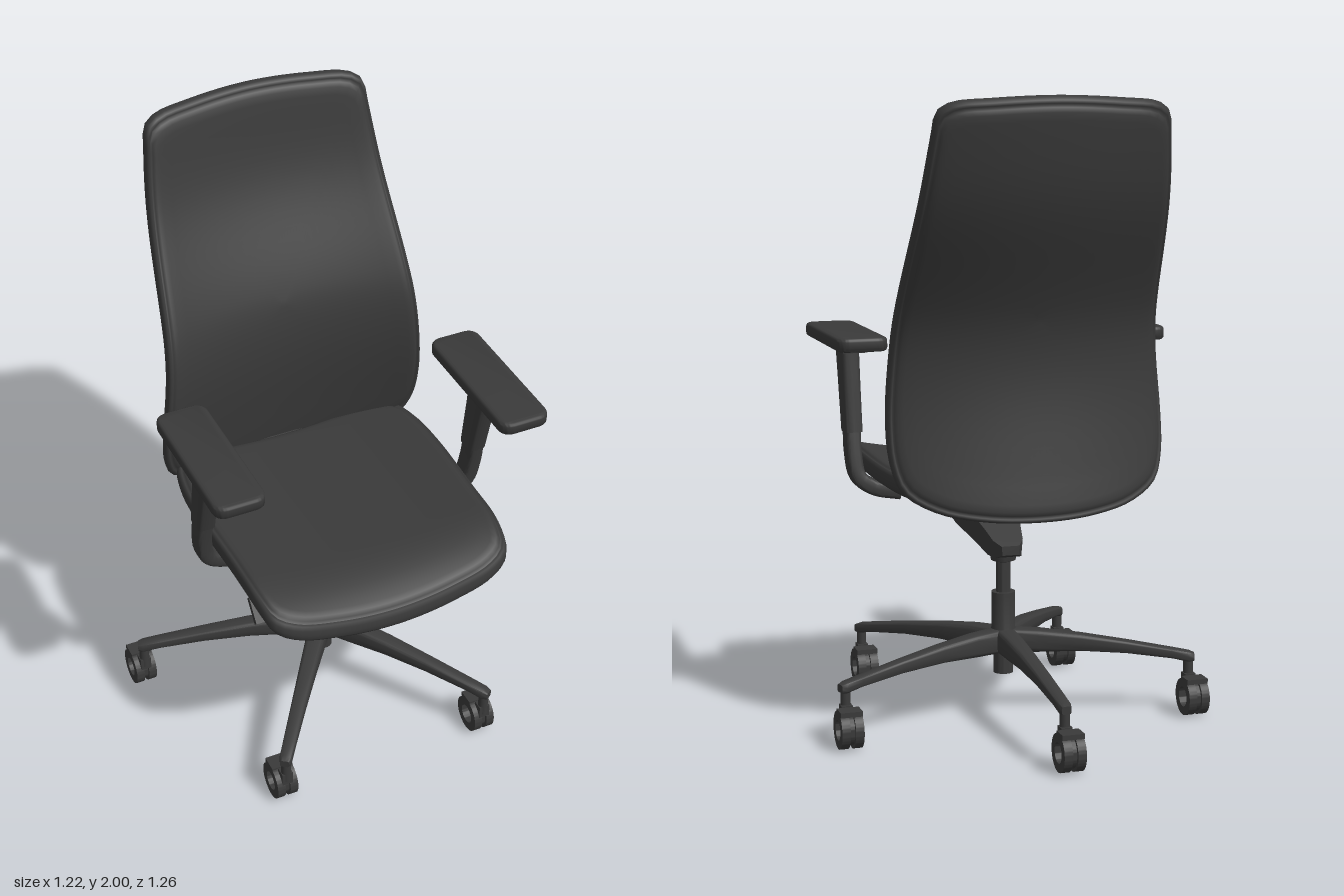
import * as THREE from 'three';
import { toCreasedNormals } from 'three/addons/utils/BufferGeometryUtils.js';

const V = (x, y, z) => new THREE.Vector3(x, y, z);
const dark = new THREE.MeshStandardMaterial({ color: 0x3a3a3a });
const HUB_Z = 0.07;

function add(parent, name, geo, x = 0, y = 0, z = 0) {
  const m = new THREE.Mesh(geo, dark);
  m.name = name;
  m.position.set(x, y, z);
  parent.add(m);
  return m;
}

// Skin over a list of equal-length rings, closed at both ends, facing outwards
function loft(rings, crease = 0) {
  const n = rings[0].length, pts = rings.flat(), idx = [];
  for (let r = 0; r < rings.length - 1; r++)
    for (let i = 0; i < n; i++) {
      const a = r * n + i, b = r * n + (i + 1) % n;
      idx.push(a, b, a + n, b, b + n, a + n);
    }
  [[0, 1], [rings.length - 1, 0]].forEach(([r, first]) => {
    const c = rings[r].reduce((s, p) => s.add(p), V(0, 0, 0)).divideScalar(n);
    pts.push(c);
    for (let i = 0; i < n; i++) {
      const a = r * n + i, b = r * n + (i + 1) % n;
      first ? idx.push(pts.length - 1, b, a) : idx.push(pts.length - 1, a, b);
    }
  });
  let volume = 0;
  for (let i = 0; i < idx.length; i += 3)
    volume += pts[idx[i]].dot(V(0, 0, 0).crossVectors(pts[idx[i + 1]], pts[idx[i + 2]]));
  if (volume < 0) idx.reverse();
  const g = new THREE.BufferGeometry().setFromPoints(pts);
  g.setIndex(idx);
  g.computeVertexNormals();
  return crease ? toCreasedNormals(g, crease) : g;
}

// Rounded-rectangle ring around c, spanned by the half axes u and v
function ring(c, u, v, n = 24) {
  const p = (t) => Math.sign(t) * Math.abs(t) ** 0.45;
  return Array.from({ length: n }, (_, i) => {
    const a = (i / n) * Math.PI * 2;
    return c.clone().addScaledVector(u, p(Math.cos(a))).addScaledVector(v, p(Math.sin(a)));
  });
}

// Upholstered pad: mirrored outline, rim with a piped seam, bent by a rule
function pad(half, centre, thick, bend) {
  const all = [...half, ...half.slice().reverse().filter((p) => p[0] > 0).map(([a, b]) => [-a, b])];
  const curve = new THREE.CatmullRomCurve3(all.map(([a, b]) => V(a, b, 0)), true);
  const outline = curve.getSpacedPoints(120).slice(0, 120);
  const rim = [[0.9, 1], [0.935, 0.94], [0.955, 0.8], [0.963, 0.6], [0.972, 0.72], [0.985, 0.68], [0.996, 0.4], [1, 0]];
  const face = [];
  for (let i = 0; i < 14; i++) face.push([0.02 + 0.86 * i / 14, 1]);
  face.push(...rim);
  const back = face.slice(0, -1).reverse().map(([s, h]) => [s, -h]);
  return loft([...face, ...back].map(([s, h]) => outline.map((p) =>
    bend(p.x * s, centre + (p.y - centre) * s, h * thick))));
}

// Smooth interpolation through [key, value] pairs
function profile(pairs) {
  return (k) => {
    let i = 0;
    while (i < pairs.length - 2 && k > pairs[i + 1][0]) i++;
    const slope = (j) => {
      const a = pairs[Math.max(j - 1, 0)], b = pairs[Math.min(j + 1, pairs.length - 1)];
      return (b[1] - a[1]) / (b[0] - a[0]);
    };
    const [k0, v0] = pairs[i], [k1, v1] = pairs[i + 1], d = k1 - k0;
    const t = THREE.MathUtils.clamp((k - k0) / d, 0, 1), t2 = t * t, t3 = t2 * t;
    return (2 * t3 - 3 * t2 + 1) * v0 + (t3 - 2 * t2 + t) * d * slope(i)
      + (3 * t2 - 2 * t3) * v1 + (t3 - t2) * d * slope(i + 1);
  };
}

function makeSeat(parent) {
  const half = [[0, 0.625], [0.2, 0.617], [0.34, 0.6], [0.395, 0.57], [0.415, 0.5], [0.423, 0.3],
    [0.43, 0.05], [0.42, -0.1], [0.39, -0.2], [0.32, -0.245], [0, -0.26]];
  add(parent, 'seatCushion', pad(half, 0.2, 0.04, (x, z, h) =>
    V(x, 0.772 + h + 0.048 * (x / 0.42) ** 2 - 0.068 * (Math.max(0, z - 0.4) / 0.225) ** 2, z)));
}

function makeBackrest(parent) {
  const half = [[0, 2], [0.2, 1.992], [0.32, 1.98], [0.357, 1.955], [0.37, 1.88], [0.4, 1.6], [0.43, 1.24],
    [0.447, 1], [0.44, 0.88], [0.41, 0.8], [0.32, 0.745], [0.18, 0.715], [0, 0.705]];
  const spine = profile([[0.7, -0.3], [0.87, -0.268], [1.1, -0.237], [1.25, -0.238], [1.37, -0.268], [1.7, -0.41], [2, -0.472]]);
  const wrap = profile([[0.7, 0.075], [1.1, 0.085], [1.35, 0.085], [2, 0.05]]);
  add(parent, 'backrest', pad(half, 1.33, 0.033, (x, y, h) =>
    V(x, y + h * 0.2, spine(y) + wrap(y) * (x / 0.42) ** 2 + h)));
}

function makeArmrest(side) {
  const g = new THREE.Group();
  g.name = side > 0 ? 'leftArmrest' : 'rightArmrest';
  const X = (x) => side * x;
  // Flat pad with softened edges
  const s = new THREE.Shape(), w = 0.07, d = 0.235, r = 0.03;
  s.moveTo(-w + r, -d).lineTo(w - r, -d).quadraticCurveTo(w, -d, w, -d + r).lineTo(w, d - r)
    .quadraticCurveTo(w, d, w - r, d).lineTo(-w + r, d).quadraticCurveTo(-w, d, -w, d - r)
    .lineTo(-w, -d + r).quadraticCurveTo(-w, -d, -w + r, -d);
  const padGeo = new THREE.ExtrudeGeometry(s, { depth: 0.02, bevelThickness: 0.012, bevelSize: 0.012, bevelSegments: 4 });
  add(g, 'armPad', toCreasedNormals(padGeo.rotateX(-Math.PI / 2), 0.8), X(0.464), 1.216, 0.277);
  add(g, 'padMount', new THREE.BoxGeometry(0.08, 0.02, 0.2), X(0.464), 1.197, 0.25);
  // Tapered sleeve
  add(g, 'armSleeve', loft([[1.2, 0.255, 0.058], [1.1, 0.236, 0.049], [0.93, 0.203, 0.038]].map(([y, z, hz]) =>
    ring(V(X(0.465), y, z), V(0.03, 0, 0), V(0, 0, hz))), 0.7));
  // Lower stem bending in beneath the seat
  const path = new THREE.CatmullRomCurve3([V(X(0.465), 0.96, 0.208), V(X(0.466), 0.86, 0.19), V(X(0.452), 0.785, 0.178),
    V(X(0.405), 0.75, 0.172), V(X(0.32), 0.732, 0.17)]);
  const rings = path.getPoints(20).map((p, i) => {
    const t = path.getTangent(i / 20), across = V(t.y, -t.x, 0).normalize();
    return ring(p, across.multiplyScalar(0.025), V(0, 0, 0.036));
  });
  add(g, 'armStem', loft(rings, 0.7));
  return g;
}

function makeMechanism(parent) {
  const g = new THREE.Group();
  g.name = 'tiltMechanism';
  parent.add(g);
  // Wedge housing narrowing towards the column: [z, top, bottom, half width]
  add(g, 'housing', loft([[0.41, 0.7, 0.65, 0.135], [0.26, 0.7, 0.594, 0.115], [0.13, 0.635, 0.547, 0.075],
    [0.07, 0.605, 0.525, 0.06], [0.02, 0.58, 0.523, 0.05], [-0.008, 0.565, 0.535, 0.03]].map(([z, t, b, w]) =>
    [V(-w, t, z), V(w, t, z), V(w * 0.9, b, z), V(-w * 0.9, b, z)]), 0.5));
  add(g, 'mountPlate', new THREE.BoxGeometry(0.27, 0.035, 0.36), 0, 0.718, 0.22);
  for (const s of [-1, 1])
    add(g, 'seatRail', new THREE.BoxGeometry(0.015, 0.025, 0.42), s * 0.13, 0.725, 0.16);
  // Adjustment lever on the right
  add(g, 'leverRod', new THREE.CylinderGeometry(0.012, 0.016, 0.24, 16).rotateZ(Math.PI / 2), -0.225, 0.635, 0.32);
  const paddle = add(g, 'leverPaddle', new THREE.BoxGeometry(0.045, 0.085, 0.02), -0.335, 0.615, 0.315);
  paddle.rotation.x = -0.7;
}

function makeCaster() {
  const g = new THREE.Group();
  g.name = 'caster';
  const tyre = (r, hole, width) => {
    const s = new THREE.Shape().absarc(0, 0, r, 0, Math.PI * 2);
    s.holes.push(new THREE.Path().absarc(0, 0, hole, 0, Math.PI * 2));
    const e = new THREE.ExtrudeGeometry(s, { depth: width, bevelEnabled: false, curveSegments: 32 });
    return toCreasedNormals(e.translate(0, 0, -width / 2).rotateY(Math.PI / 2), 0.6);
  };
  for (const s of [-1, 1]) add(g, 'wheel', tyre(0.06, 0.032, 0.027), s * 0.0215, 0.06, -0.042);
  add(g, 'wheelCore', tyre(0.05, 0.032, 0.02), 0, 0.06, -0.042);
  add(g, 'hood', new THREE.BoxGeometry(0.07, 0.016, 0.055), 0, 0.117, -0.055);
  add(g, 'yoke', new THREE.BoxGeometry(0.036, 0.045, 0.035), 0, 0.105, -0.004);
  add(g, 'stem', new THREE.CylinderGeometry(0.016, 0.016, 0.09, 16), 0, 0.14, 0);
  return g;
}

function makeBase(parent) {
  const g = new THREE.Group();
  g.name = 'base';
  g.position.z = HUB_Z;
  parent.add(g);
  // Gas column with stepped sleeves, bottom to top
  const steps = [[0, 0.13], [0.032, 0.13], [0.032, 0.2], [0.042, 0.2], [0.042, 0.27], [0.039, 0.28], [0.039, 0.4],
    [0.024, 0.4], [0.024, 0.5], [0.04, 0.505], [0.046, 0.535], [0.046, 0.55], [0, 0.55]];
  add(g, 'column', toCreasedNormals(new THREE.LatheGeometry(steps.map(([r, y]) => new THREE.Vector2(r, y)), 32), 0.6));
  // Five arched spokes: [radius, top, bottom, half width]
  const spoke = [[0, 0.28, 0.2, 0.036], [0.12, 0.274, 0.2, 0.032], [0.25, 0.259, 0.203, 0.028], [0.4, 0.236, 0.195, 0.024],
    [0.55, 0.21, 0.177, 0.021], [0.605, 0.2, 0.165, 0.02], [0.622, 0.193, 0.168, 0.015]];
  const spokeGeo = loft(spoke.map(([r, t, b, w]) =>
    ring(V(0, (t + b) / 2, -r), V(w, 0, 0), V(0, (t - b) / 2, 0))), 0.7);
  for (let i = 0; i < 5; i++) {
    const a = i * Math.PI * 2 / 5;
    add(g, 'spoke', spokeGeo).rotation.y = a;
    const c = makeCaster();
    c.position.set(-Math.sin(a) * 0.603, 0, -Math.cos(a) * 0.603);
    g.add(c);
  }
}

export function createModel() {
  const chair = new THREE.Group();
  chair.name = 'officeChair';
  makeSeat(chair);
  makeBackrest(chair);
  chair.add(makeArmrest(1), makeArmrest(-1));
  makeMechanism(chair);
  makeBase(chair);
  return chair;
}
